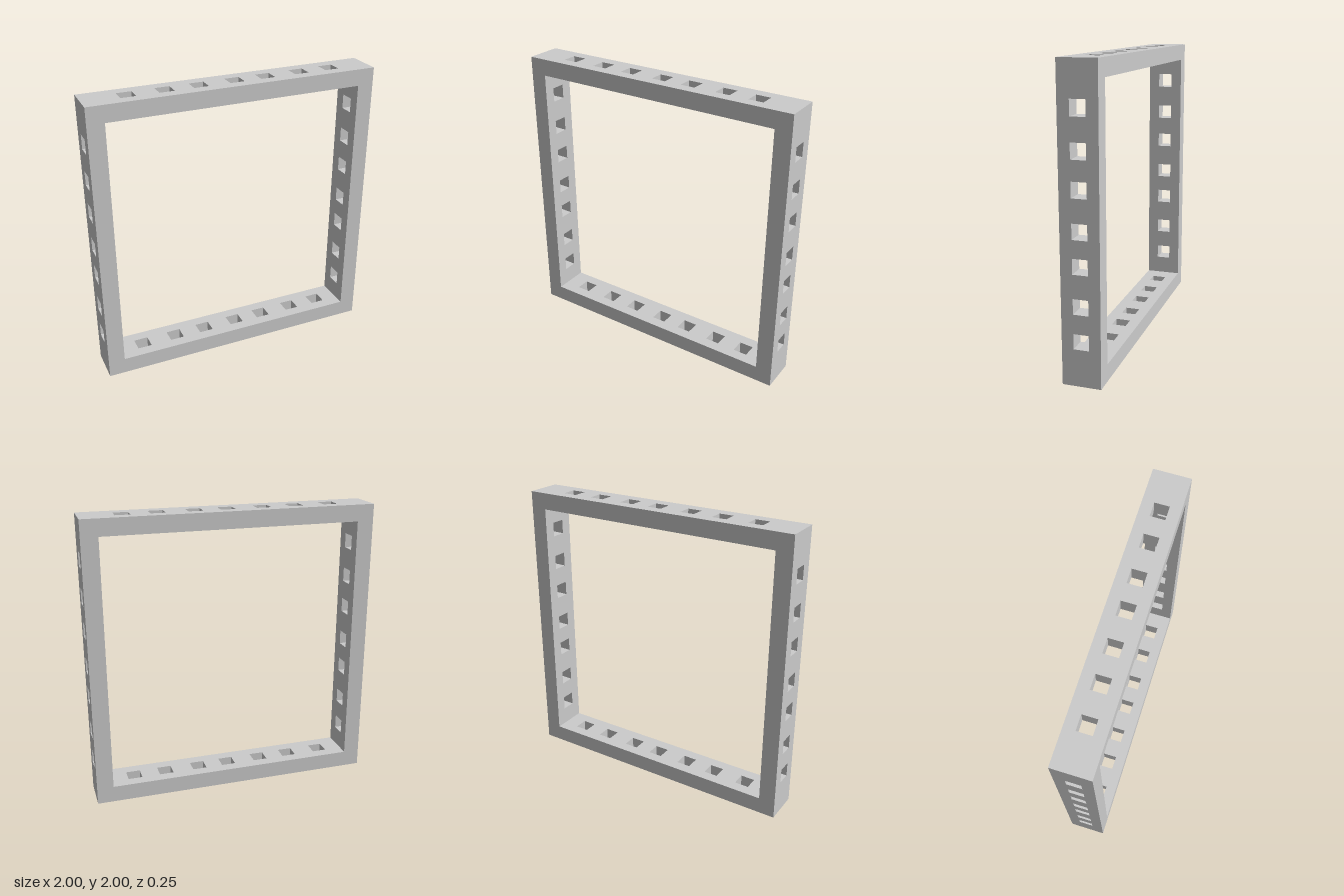
import * as THREE from 'three';

const THICK = 0.115, HALF_DEPTH = 0.127, HOLE = 0.05;
const material = new THREE.MeshStandardMaterial({ color: 0xcccccc, flatShading: true });

// Corners of a rectangle centred on (cx, 0)
function rect(cx, hw, hh) {
  return [[-1, -1], [1, -1], [1, 1], [-1, 1]].map(([a, b]) => new THREE.Vector2(cx + a * hw, b * hh));
}

// Flat bar along x, centred on the origin, with square holes through its thickness
function barGeometry(length, holeCentres) {
  const shape = new THREE.Shape(rect(0, length / 2, HALF_DEPTH));
  for (const c of holeCentres) shape.holes.push(new THREE.Path(rect(c, HOLE, HOLE).reverse()));
  return new THREE.ExtrudeGeometry(shape, { depth: THICK, bevelEnabled: false })
    .translate(0, 0, -THICK / 2)
    .rotateX(Math.PI / 2);
}

export function createModel() {
  const frame = new THREE.Group();
  frame.name = 'squareFrame';

  const add = (name, geometry, x, y) => {
    const mesh = new THREE.Mesh(geometry, material);
    mesh.name = name;
    mesh.position.set(x, y, 0);
    frame.add(mesh);
  };

  // Top and bottom rails run the full width
  const rail = barGeometry(2, [-0.71, -0.46, -0.23, 0.018, 0.238, 0.487, 0.716]);
  add('bottomRail', rail, 0, THICK / 2);
  add('topRail', rail, 0, 2 - THICK / 2);

  // Side posts stand between the rails
  const post = barGeometry(2 - 2 * THICK, [-0.706, -0.48, -0.226, -0.01, 0.242, 0.471, 0.72])
    .rotateZ(Math.PI / 2);
  add('rightPost', post, -1 + THICK / 2, 1);
  add('leftPost', post, 1 - THICK / 2, 1);

  return frame;
}
